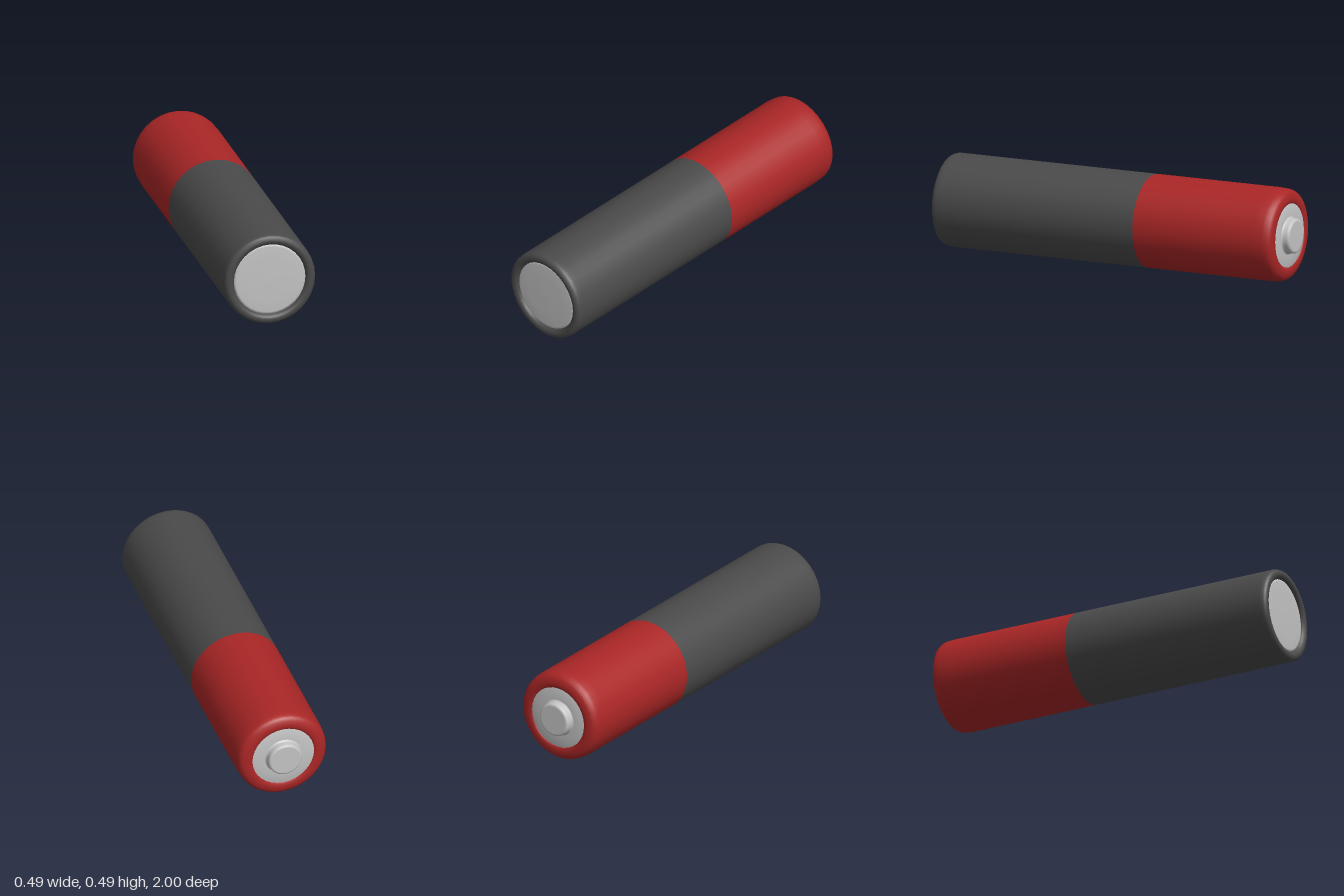
import * as THREE from 'three';

const SEGMENTS = 32;

export function createModel() {
  const red = new THREE.MeshStandardMaterial({ color: 0xaa2626 });
  red.name = 'red wrap';
  const dark = new THREE.MeshStandardMaterial({ color: 0x4a4a4a });
  dark.name = 'dark grey wrap';
  const metal = new THREE.MeshStandardMaterial({ color: 0xc4c4c4 });
  metal.name = 'metal';

  const battery = new THREE.Group();
  battery.name = 'battery';
  battery.position.y = 0.246;

  // Each profile is a list of [radius, z], running from back to front.
  function turned(name, profile, material) {
    const points = profile.map(([r, z]) => new THREE.Vector2(r, z));
    const geometry = new THREE.LatheGeometry(points, SEGMENTS);
    geometry.rotateX(Math.PI / 2);
    const mesh = new THREE.Mesh(geometry, material);
    mesh.name = name;
    battery.add(mesh);
  }

  // Positive half of the wrap, with a rounded shoulder and a small inner lip
  turned('positiveWrap', [
    [0.163, -0.945], [0.166, -0.956], [0.176, -0.963], [0.195, -0.964],
    [0.216, -0.959], [0.231, -0.95], [0.239, -0.936], [0.243, -0.915],
    [0.245, -0.88], [0.245, -0.86], [0.245, -0.17],
  ], red);

  // Negative half of the wrap, rolled over into the front rim
  turned('negativeWrap', [
    [0.245, -0.17], [0.245, 0.94], [0.245, 0.965], [0.243, 0.982],
    [0.237, 0.993], [0.226, 0.999], [0.215, 1], [0.204, 0.997],
    [0.195, 0.989], [0.19, 0.975],
  ], dark);

  // Back plate and raised button, with doubled rings for crisp edges
  turned('positivePlate', [[0.09, -0.958], [0.168, -0.958], [0.168, -0.94]], metal);
  turned('positiveButton', [
    [0, -1], [0.078, -1], [0.08, -1], [0.087, -0.998], [0.091, -0.992],
    [0.092, -0.985], [0.092, -0.968], [0.095, -0.961], [0.102, -0.957],
  ], metal);

  // Slightly domed front plate set inside the rim
  turned('negativePlate', [
    [0.193, 0.97], [0.191, 0.981], [0.18, 0.984], [0.12, 0.986], [0, 0.987],
  ], metal);

  return battery;
}
